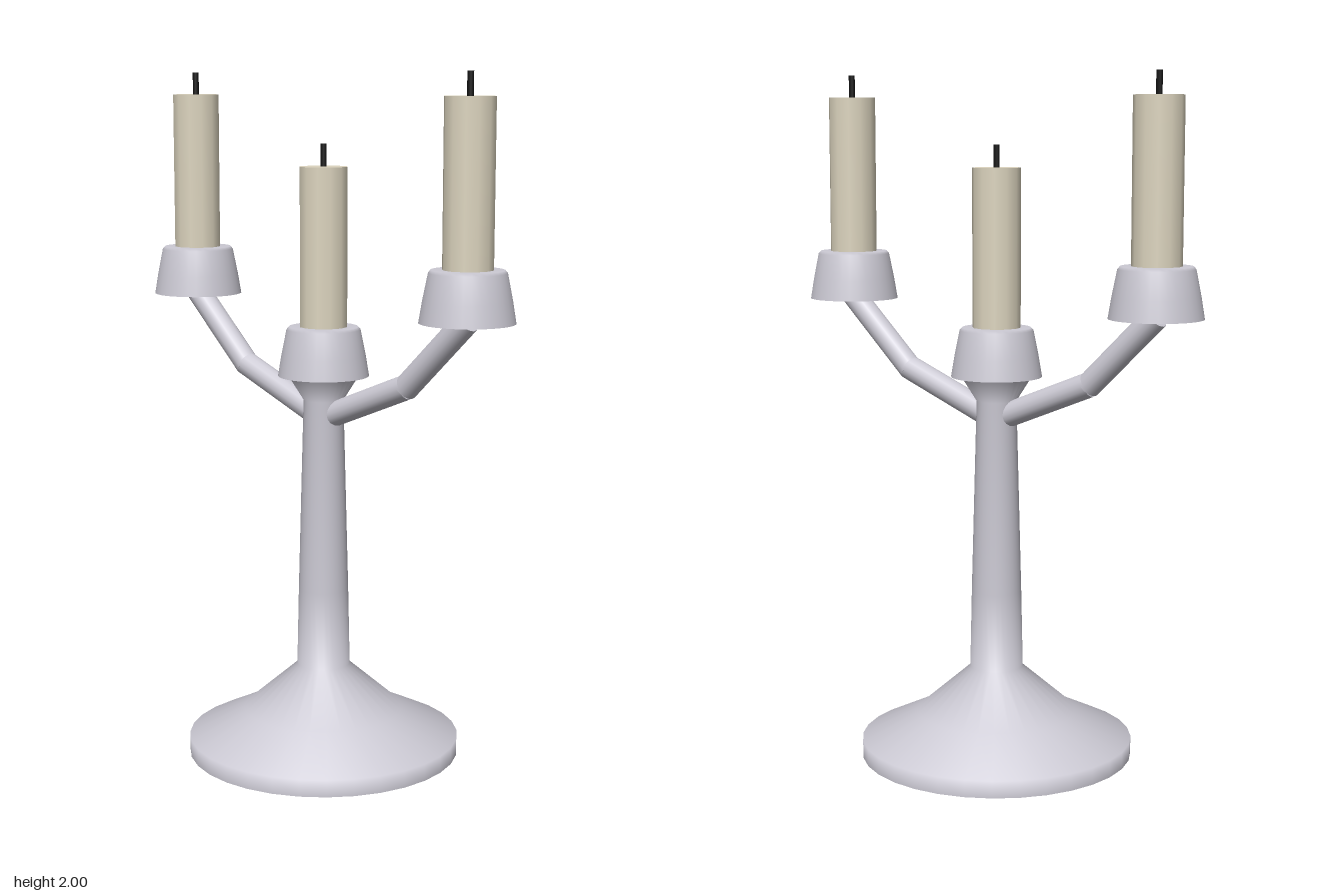
import * as THREE from 'three';

export function createModel() {
  const group = new THREE.Group();
  const material = (name, color) => Object.assign(new THREE.MeshStandardMaterial({ color }), { name });
  const metal = material('silver metal', 0xcccad4);
  const wax = material('cream wax', 0xddd5bf);
  const black = material('black wick', 0x141414);

  const add = (name, geometry, mat, parent = group) => {
    const mesh = new THREE.Mesh(geometry, mat);
    mesh.name = name;
    parent.add(mesh);
    return mesh;
  };
  const lathe = (points, sides) =>
    new THREE.LatheGeometry(points.map(([r, y]) => new THREE.Vector2(r, y)), sides);

  // Round foot flowing into a tapered stem with a flared neck
  add('baseAndStem', lathe([
    [0.4, 0.005], [0.4, 0.055], [0.235, 0.135], [0.078, 0.27],
    [0.073, 0.5], [0.058, 1.065], [0.105, 1.14],
  ], 32), metal);
  const underside = add('baseUnderside', new THREE.CircleGeometry(0.4, 32), metal);
  underside.rotation.x = Math.PI / 2;
  underside.position.y = 0.005;

  // Straight round rod between two points in the front plane
  const rod = (name, x1, y1, x2, y2, radius) => {
    const a = new THREE.Vector3(x1, y1, 0), b = new THREE.Vector3(x2, y2, 0);
    const mesh = add(name, new THREE.CylinderGeometry(radius, radius, a.distanceTo(b), 16), metal);
    mesh.position.copy(a).add(b).multiplyScalar(0.5);
    mesh.quaternion.setFromUnitVectors(new THREE.Vector3(0, 1, 0), b.sub(a).normalize());
  };

  // Cup, candle and wick, standing at the cup's underside
  const candleHolder = (name, x, y) => {
    const holder = new THREE.Group();
    holder.name = name;
    holder.position.set(x, y, 0);
    group.add(holder);
    add('cup', lathe([
      [0, 0], [0.132, 0], [0.132, 0], [0.122, 0.06], [0.107, 0.135], [0.1, 0.143], [0, 0.143],
    ], 32), metal, holder);
    add('candle', new THREE.CylinderGeometry(0.07, 0.07, 0.5, 12), wax, holder).position.y = 0.35;
    add('wick', new THREE.CylinderGeometry(0.009, 0.009, 0.09, 8), black, holder).position.y = 0.62;
  };

  candleHolder('centreHolder', 0, 1.136);
  for (const [side, s] of [['left', 1], ['right', -1]]) {
    rod(side + 'InnerArm', s * 0.03, 1.022, s * 0.32, 1.138, 0.036);
    rod(side + 'OuterArm', s * 0.315, 1.133, s * 0.533, 1.342, 0.036);
    candleHolder(side + 'Holder', s * 0.533, 1.336);
  }
  return group;
}
